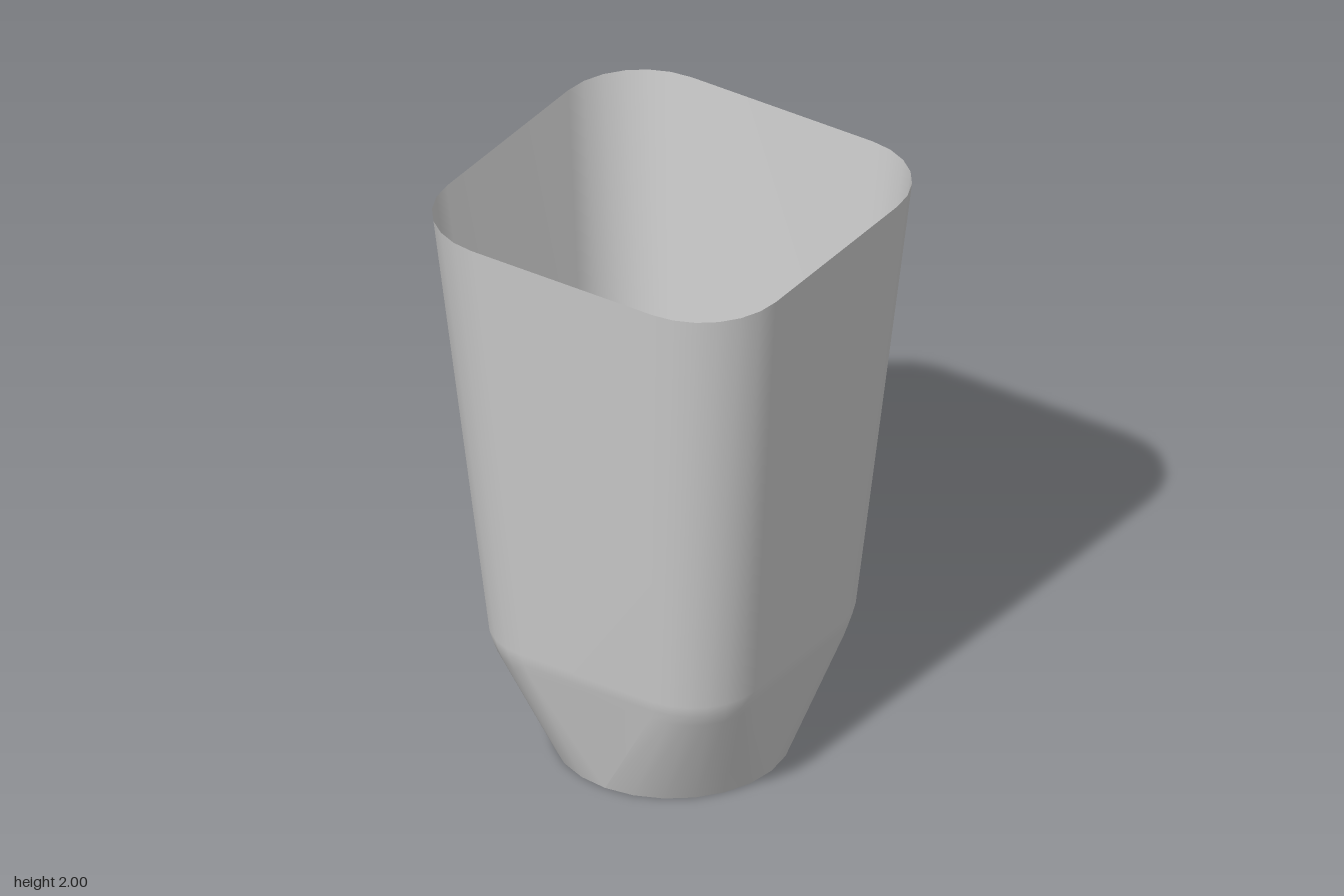
import * as THREE from 'three';

const ARC = 6; // segments per rounded corner

// Rounded diamond: four corner arcs of radius r, centred at distance d along the axes
function section(y, d, r) {
  const points = [];
  for (let k = 0; k < 4; k++) {
    const axis = k * Math.PI / 2;
    for (let i = 0; i <= ARC; i++) {
      const a = axis + (i / ARC - 0.5) * Math.PI / 2;
      points.push(d * Math.cos(axis) + r * Math.cos(a), y, -d * Math.sin(axis) - r * Math.sin(a));
    }
  }
  return points;
}

// Skin closed sections of equal point count, listed from bottom to top
function loft(sections) {
  const n = sections[0].length / 3;
  const index = [];
  for (let s = 0; s < sections.length - 1; s++) {
    for (let i = 0; i < n; i++) {
      const a = s * n + i, b = s * n + (i + 1) % n;
      index.push(a, b, b + n, a, b + n, a + n);
    }
  }
  const geometry = new THREE.BufferGeometry();
  geometry.setAttribute('position', new THREE.Float32BufferAttribute(sections.flat(), 3));
  geometry.setIndex(index);
  geometry.computeVertexNormals();
  return geometry;
}

export function createModel() {
  const model = new THREE.Group();
  model.name = 'taperedSleeve';

  // Thin open shell: round mouth at the base, softened shoulder, rounded-square rim
  const geometry = loft([
    section(0, 0, 0.378),
    section(0.38, 0.325, 0.235),
    section(0.42, 0.342, 0.233),
    section(0.46, 0.353, 0.233),
    section(2, 0.485, 0.281),
  ]);
  const material = new THREE.MeshStandardMaterial({ color: 0xcccccc, side: THREE.DoubleSide });
  const shell = new THREE.Mesh(geometry, material);
  shell.name = 'shell';
  model.add(shell);
  return model;
}
